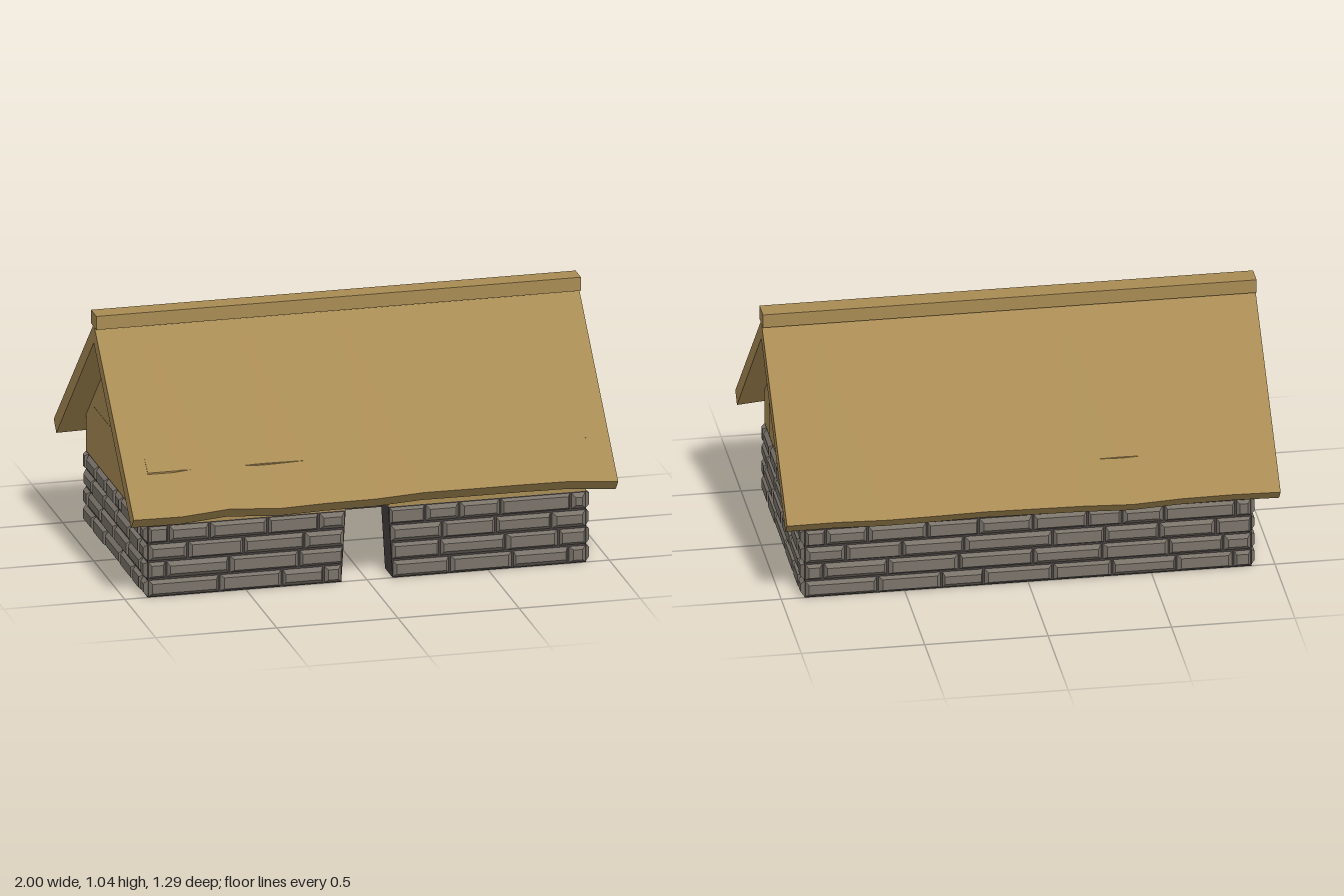
import * as THREE from 'three';
import { mergeGeometries } from 'three/addons/utils/BufferGeometryUtils.js';

const HX = 0.905, HZ = 0.5, T = 0.123;      // outer half sizes and wall thickness
const WALL_TOP = 0.3, EAVE_TOP = 0.524;     // stone height, upper wall height
const IX = HX - T, IZ = HZ - T;

const thatch = new THREE.MeshStandardMaterial({ name: 'thatch', color: 0xa88b54 });
const stone = new THREE.MeshStandardMaterial({ name: 'stone', color: 0x7a736a });
const mortar = new THREE.MeshStandardMaterial({ name: 'mortar', color: 0x484141 });

function add(parent, name, geometry, material, x = 0, y = 0, z = 0) {
  const mesh = new THREE.Mesh(geometry, material);
  mesh.name = name;
  mesh.position.set(x, y, z);
  parent.add(mesh);
  return mesh;
}

function extrude(points, depth) {
  const shape = new THREE.Shape(points.map(([x, y]) => new THREE.Vector2(x, y)));
  return new THREE.ExtrudeGeometry(shape, { depth, bevelEnabled: false });
}

// One bevelled block whose outer face is inset and stands proud of the wall
function block(x0, x1, y0, y1, wallZ, seed) {
  const w = x1 - x0 - 0.008, h = y1 - y0 - 0.008, depth = 0.015;
  const g = new THREE.BoxGeometry(w, h, depth).toNonIndexed();
  const p = g.attributes.position;
  const inX = 0.012 + 0.004 * Math.sin(seed * 2.3), inY = 0.013 + 0.004 * Math.sin(seed * 4.1);
  for (let i = 0; i < p.count; i++) {
    if (p.getZ(i) > 0) {
      p.setX(i, p.getX(i) - Math.sign(p.getX(i)) * inX);
      p.setY(i, p.getY(i) - Math.sign(p.getY(i)) * inY);
    }
  }
  g.translate((x0 + x1) / 2, (y0 + y1) / 2, wallZ + depth / 2);
  g.computeVertexNormals();
  return g;
}

// Four courses of blocks; each course lists its joints, with an optional door gap
function masonry(courses, half, wallZ, door) {
  const blocks = [], rise = WALL_TOP / 4;
  courses.forEach((joints, row) => {
    const gap = 0.106 - 0.067 * (row + 0.5) * rise;
    const runs = door
      ? [[-half, ...joints.filter(j => j < 0), -gap], [gap, ...joints.filter(j => j > 0), half]]
      : [[-half, ...joints, half]];
    runs.forEach(run => {
      for (let i = 0; i + 1 < run.length; i++)
        blocks.push(block(run[i], run[i + 1], row * rise, (row + 1) * rise, wallZ, row * 7 + i));
    });
  });
  return mergeGeometries(blocks);
}

// Sloping slab on the +z side; its eave height changes from station to station
function roofSlab(eaves) {
  const sections = eaves.map((e, i) => {
    const x = -1 + (2 * i) / (eaves.length - 1);
    return [[x, 1.0, 0], [x, e, 0.645], [x, e - 0.045, 0.603], [x, 0.92, 0]];
  });
  const pos = [];
  const quad = (a, b, c, d) => pos.push(...a, ...b, ...c, ...a, ...c, ...d);
  for (let i = 0; i + 1 < sections.length; i++) {
    const s = sections[i], n = sections[i + 1];
    for (let k = 0; k < 4; k++) {
      const m = (k + 1) % 4;
      quad(s[k], s[m], n[m], n[k]);
    }
  }
  const first = sections[0], last = sections[sections.length - 1];
  quad(...last);
  quad(first[3], first[2], first[1], first[0]);
  const g = new THREE.BufferGeometry();
  g.setAttribute('position', new THREE.Float32BufferAttribute(pos, 3));
  g.computeVertexNormals();
  return g;
}

export function createModel() {
  const model = new THREE.Group();
  model.name = 'cottage';

  // Lower walls with a tapered doorway at the front
  const lower = new THREE.Group();
  lower.name = 'lowerWalls';
  model.add(lower);
  add(lower, 'backWall', new THREE.BoxGeometry(2 * IX, WALL_TOP, T), mortar, 0, WALL_TOP / 2, -HZ + T / 2);
  for (const s of [-1, 1]) {
    add(lower, 'endWall', new THREE.BoxGeometry(T, WALL_TOP, 2 * HZ), mortar, s * (HX - T / 2), WALL_TOP / 2, 0);
    const half = [[s * 0.106, 0], [s * IX, 0], [s * IX, WALL_TOP], [s * 0.088, WALL_TOP]];
    add(lower, 'frontWall', extrude(half, T), mortar, 0, 0, IZ);
  }

  // Stone facing
  const longCourses = [
    [-0.61, -0.35, -0.18, 0.34, 0.6, 0.83],
    [-0.83, -0.57, -0.28, 0.3, 0.57, 0.79],
    [-0.74, -0.51, -0.26, 0.31, 0.53, 0.76],
    [-0.82, -0.65, -0.41, -0.2, 0.24, 0.38, 0.55, 0.84],
  ];
  const backCourses = longCourses.map((c, i) =>
    [...c, i % 2 ? 0.02 : 0.1].sort((a, b) => a - b));
  const endCourses = [
    [-0.34, -0.145, 0.1, 0.3, 0.43],
    [-0.42, -0.215, 0.01, 0.22, 0.425],
    [-0.35, -0.15, 0.035, 0.245, 0.41],
    [-0.45, -0.29, -0.13, 0.01, 0.11, 0.31, 0.41],
  ];
  add(model, 'frontStones', masonry(longCourses, HX, HZ, true), stone);
  add(model, 'backStones', masonry(backCourses, HX, HZ, false), stone).rotation.y = Math.PI;
  for (const s of [-1, 1])
    add(model, 'endStones', masonry(endCourses, HZ, HX, false), stone).rotation.y = s * Math.PI / 2;

  // Upper walls, gables and ceiling
  const upper = new THREE.Group();
  upper.name = 'upperWalls';
  model.add(upper);
  const front = [[-IX, WALL_TOP], [-0.088, WALL_TOP], [-0.082, 0.42], [0.082, 0.42], [0.088, WALL_TOP],
    [IX, WALL_TOP], [IX, EAVE_TOP], [-IX, EAVE_TOP]];
  add(upper, 'upperFrontWall', extrude(front, T), thatch, 0, 0, IZ);
  const h = EAVE_TOP - WALL_TOP;
  add(upper, 'upperBackWall', new THREE.BoxGeometry(2 * IX, h, T), thatch, 0, WALL_TOP + h / 2, -HZ + T / 2);
  add(upper, 'ceiling', new THREE.BoxGeometry(2 * IX, 0.01, 2 * IZ), thatch, 0, EAVE_TOP + 0.005, 0);
  const gable = [[-HZ, WALL_TOP], [HZ, WALL_TOP], [HZ, EAVE_TOP], [0, 0.96], [-HZ, EAVE_TOP]];
  for (const s of [-1, 1]) {
    const g = extrude(gable, T).translate(0, 0, -T / 2).rotateY(Math.PI / 2);
    add(upper, 'gable', g, thatch, s * (HX - T / 2), 0, 0);
    add(upper, 'gablePanel', new THREE.BoxGeometry(0.002, h, 2 * IZ), thatch, s * HX, WALL_TOP + h / 2, 0);
  }

  // Roof slabs with uneven eaves, and the ridge cap
  const frontEaves = [0.38, 0.378, 0.395, 0.38, 0.386, 0.387, 0.398, 0.397, 0.397, 0.395, 0.378];
  const backEaves = [0.395, 0.396, 0.39, 0.392, 0.396, 0.393, 0.39, 0.382, 0.392, 0.394, 0.39];
  add(model, 'frontRoof', roofSlab(frontEaves), thatch);
  add(model, 'backRoof', roofSlab(backEaves), thatch).rotation.y = Math.PI;
  add(model, 'ridgeCap', new THREE.BoxGeometry(2, 0.057, 0.087), thatch, 0, 1.0165, 0);

  return model;
}
